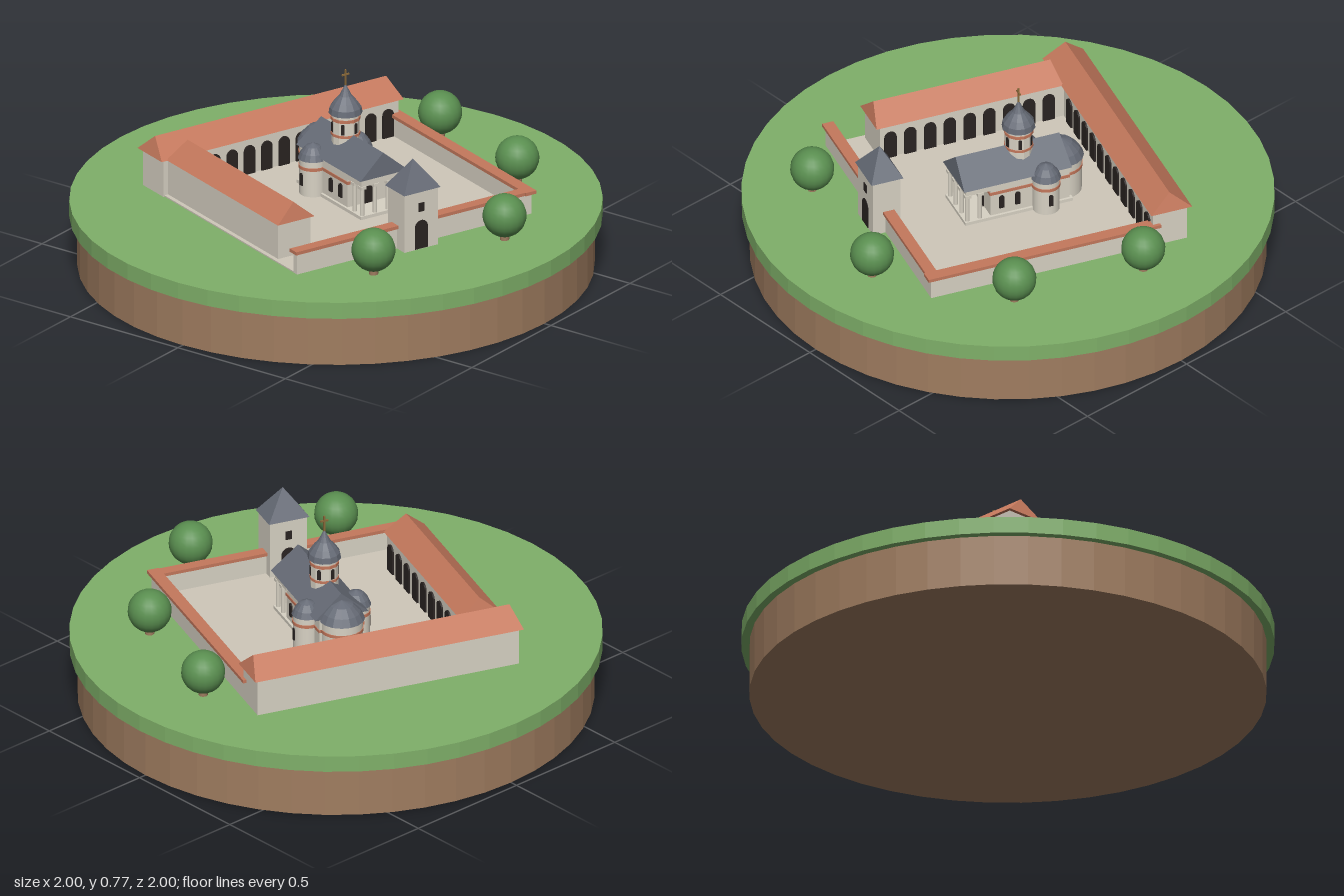
import * as THREE from 'three';

const mat = (name, color) => {
  const m = new THREE.MeshStandardMaterial({ color });
  m.name = name;
  return m;
};

export function createModel() {
  const M = {
    grass: mat('grass', 0x7fb069), earth: mat('earth', 0xa07d60), wall: mat('plaster', 0xd8d2c4),
    floor: mat('paving', 0xcfc8ba), tile: mat('terracotta', 0xc4785c), slate: mat('slate', 0x666b76),
    dark: mat('opening', 0x2a2422), leaf: mat('foliage', 0x5a8f50), gold: mat('dull gold', 0x8a6a3a),
  };
  const root = new THREE.Group();
  const yard = new THREE.Group();
  yard.name = 'walledCourtyard';
  yard.rotation.y = -Math.PI / 9;
  root.add(yard);
  const G = 0.265; // ground level

  const add = (parent, name, geo, m, x = 0, y = 0, z = 0, ry = 0) => {
    const mesh = new THREE.Mesh(geo, m);
    mesh.name = name;
    mesh.position.set(x, y, z);
    mesh.rotation.y = ry;
    parent.add(mesh);
    return mesh;
  };
  const facet = (geo) => {
    const g = geo.index ? geo.toNonIndexed() : geo;
    g.computeVertexNormals();
    return g;
  };
  const cyl = (r, h, n = 16, r2 = r) => new THREE.CylinderGeometry(r, r2, h, n);
  // box given by its extents
  const block = (parent, name, m, x0, x1, y0, y1, z0, z1) => add(parent, name,
    new THREE.BoxGeometry(x1 - x0, y1 - y0, z1 - z0), m, (x0 + x1) / 2, (y0 + y1) / 2, (z0 + z1) / 2);
  // hipped roof with its ridge along x
  const hipRoof = (len, wid, h, ridge) => {
    const l = len / 2, w = wid / 2, r = ridge / 2;
    const g = new THREE.BufferGeometry();
    g.setAttribute('position', new THREE.Float32BufferAttribute(
      [-l, 0, -w, l, 0, -w, l, 0, w, -l, 0, w, -r, h, 0, r, h, 0], 3));
    g.setIndex([3, 2, 5, 3, 5, 4, 1, 0, 4, 1, 4, 5, 2, 1, 5, 0, 3, 4, 0, 1, 2, 0, 2, 3]);
    return facet(g);
  };
  // thin round-headed opening, facing +z
  const archGeo = (w, h, t = 0.008) => {
    const s = new THREE.Shape();
    s.moveTo(-w / 2, 0);
    s.lineTo(w / 2, 0);
    s.lineTo(w / 2, h - w / 2);
    s.absarc(0, h - w / 2, w / 2, 0, Math.PI, false);
    s.closePath();
    return new THREE.ExtrudeGeometry(s, { depth: t, bevelEnabled: false, curveSegments: 6 });
  };

  // round base
  add(root, 'earthBase', facet(cyl(0.97, 0.2, 48)), M.earth, 0, 0.1, 0);
  add(root, 'grassDisc', facet(cyl(1, 0.065, 48)), M.grass, 0, 0.2325, 0);

  // trees
  for (const [x, z] of [[-0.497, 0.54], [0.06, 0.74], [0.535, 0.45], [0.713, -0.04]]) {
    add(root, 'treeTrunk', cyl(0.018, 0.06, 8), M.earth, x, G + 0.025, z);
    add(root, 'treeCrown', new THREE.SphereGeometry(0.083, 20, 14), M.leaf, x, 0.363, z);
  }

  // courtyard floor and perimeter walls with tiled coping
  block(yard, 'courtyardFloor', M.floor, -0.525, 0.525, 0.255, 0.27, -0.5, 0.52);
  block(yard, 'frontWall', M.wall, -0.525, 0.53, G, 0.35, 0.5, 0.525);
  block(yard, 'frontCoping', M.tile, -0.535, 0.54, 0.348, 0.361, 0.49, 0.535);
  block(yard, 'sideWall', M.wall, 0.505, 0.53, G, 0.35, -0.4, 0.525);
  block(yard, 'sideCoping', M.tile, 0.495, 0.543, 0.348, 0.361, -0.4, 0.54);

  // back and left wings
  block(yard, 'backWing', M.wall, -0.53, 0.53, G, 0.42, -0.51, -0.372);
  add(yard, 'backWingRoof', hipRoof(1.09, 0.165, 0.072, 1.04), M.tile, 0, 0.414, -0.442);
  block(yard, 'leftWing', M.wall, -0.508, -0.362, G, 0.42, -0.4, 0.372);
  add(yard, 'leftWingRoof', hipRoof(0.755, 0.165, 0.071, 0.715), M.tile, -0.437, 0.414, 0.01, Math.PI / 2);

  // arcades facing the yard
  const arch = archGeo(0.048, 0.115);
  for (let i = 0; i < 9; i++) add(yard, 'leftArcadeArch', arch, M.dark, -0.363, 0.27, -0.31 + i * 0.08, Math.PI / 2);
  for (let i = 0; i < 11; i++) add(yard, 'backArcadeArch', arch, M.dark, -0.3 + i * 0.078, 0.27, -0.373);

  // gate tower
  const gate = new THREE.Group();
  gate.name = 'gateTower';
  gate.position.set(0, 0, 0.52);
  yard.add(gate);
  block(gate, 'gateBody', M.wall, -0.075, 0.075, G, 0.505, -0.056, 0.056);
  add(gate, 'gateRoof', hipRoof(0.165, 0.13, 0.112, 0), M.slate, 0, 0.5, 0);
  for (const s of [1, -1]) {
    const ry = s > 0 ? 0 : Math.PI;
    add(gate, 'gateArch', archGeo(0.058, 0.115), M.dark, 0, G + 0.002, s * 0.05, ry);
    add(gate, 'gateWindow', new THREE.BoxGeometry(0.026, 0.035, 0.006), M.dark, 0, 0.435, s * 0.056);
  }

  // church
  const church = new THREE.Group();
  church.name = 'church';
  church.position.set(0.056, 0, 0);
  yard.add(church);
  block(church, 'plinth', M.wall, -0.1, 0.1, G, 0.283, -0.2, 0.235);
  block(church, 'nave', M.wall, -0.09, 0.09, G, 0.435, -0.19, 0.13);
  block(church, 'naveBand', M.tile, -0.093, 0.093, 0.375, 0.387, -0.19, 0.133);
  block(church, 'porchBeam', M.wall, -0.095, 0.095, 0.4, 0.435, 0.12, 0.23);
  add(church, 'naveRoof', hipRoof(0.435, 0.216, 0.092, 0.42), M.slate, 0, 0.43, 0.025, Math.PI / 2);
  add(church, 'churchDoor', archGeo(0.05, 0.1), M.dark, 0, 0.283, 0.127);

  // porch columns
  const posts = [-0.086, -0.029, 0.029, 0.086].map((x) => [x, 0.222]);
  posts.push([-0.086, 0.172], [0.086, 0.172]);
  for (const [x, z] of posts) {
    add(church, 'porchColumn', cyl(0.009, 0.125, 8), M.wall, x, 0.343, z);
    block(church, 'columnCapital', M.wall, x - 0.012, x + 0.012, 0.39, 0.402, z - 0.012, z + 0.012);
  }

  // nave windows
  for (const s of [-1, 1]) for (const z of [0.02, 0.085])
    add(church, 'naveWindow', archGeo(0.02, 0.055), M.dark, s * 0.088, 0.31, z, s * Math.PI / 2);

  // apses with bell-shaped roofs
  const apse = (name, x, z, r, eave, rise, windows) => {
    add(church, name, cyl(r, eave - G, 20), M.wall, x, (eave + G) / 2, z);
    add(church, name + 'Band', cyl(r + 0.003, 0.012, 20), M.tile, x, 0.381, z);
    const p = [[0, 0], [1.1, 0], [0.9, 0.4], [0.55, 0.78], [0, 1]].map(
      ([a, b]) => new THREE.Vector2(a * r, b * rise));
    add(church, name + 'Roof', facet(new THREE.LatheGeometry(p, 16)), M.slate, x, eave - 0.003, z);
    for (const a of windows)
      add(church, name + 'Window', archGeo(0.016, 0.05), M.dark,
        x + Math.sin(a) * (r - 0.005), 0.31, z + Math.cos(a) * (r - 0.005), a);
  };
  apse('mainApse', 0, -0.19, 0.08, 0.425, 0.075, [Math.PI]);
  for (const s of [-1, 1]) apse('sideApse', s * 0.1, -0.09, 0.052, 0.415, 0.06, [s * Math.PI / 2]);

  // central lantern with flared cap
  const lantern = new THREE.Group();
  lantern.name = 'lantern';
  lantern.position.set(0, 0, -0.02);
  church.add(lantern);
  add(lantern, 'drum', facet(cyl(0.053, 0.16, 12)), M.wall, 0, 0.525, 0);
  add(lantern, 'drumUpperBand', facet(cyl(0.056, 0.012, 12)), M.tile, 0, 0.577, 0);
  add(lantern, 'drumLowerBand', facet(cyl(0.056, 0.01, 12)), M.tile, 0, 0.515, 0);
  for (let i = 0; i < 6; i++) {
    const a = (i + 0.25) * Math.PI / 3;
    add(lantern, 'drumWindow', archGeo(0.014, 0.042), M.dark, Math.sin(a) * 0.046, 0.524, Math.cos(a) * 0.046, a);
  }
  const cap = [[0, 0.597], [0.064, 0.597], [0.06, 0.62], [0.045, 0.642], [0.024, 0.666], [0.012, 0.69], [0, 0.715]]
    .map(([x, y]) => new THREE.Vector2(x, y));
  add(lantern, 'lanternCap', facet(new THREE.LatheGeometry(cap, 12)), M.slate);
  add(lantern, 'crossPost', new THREE.BoxGeometry(0.006, 0.07, 0.006), M.gold, 0, 0.735, 0);
  add(lantern, 'crossArm', new THREE.BoxGeometry(0.032, 0.006, 0.006), M.gold, 0, 0.75, 0);

  return root;
}
